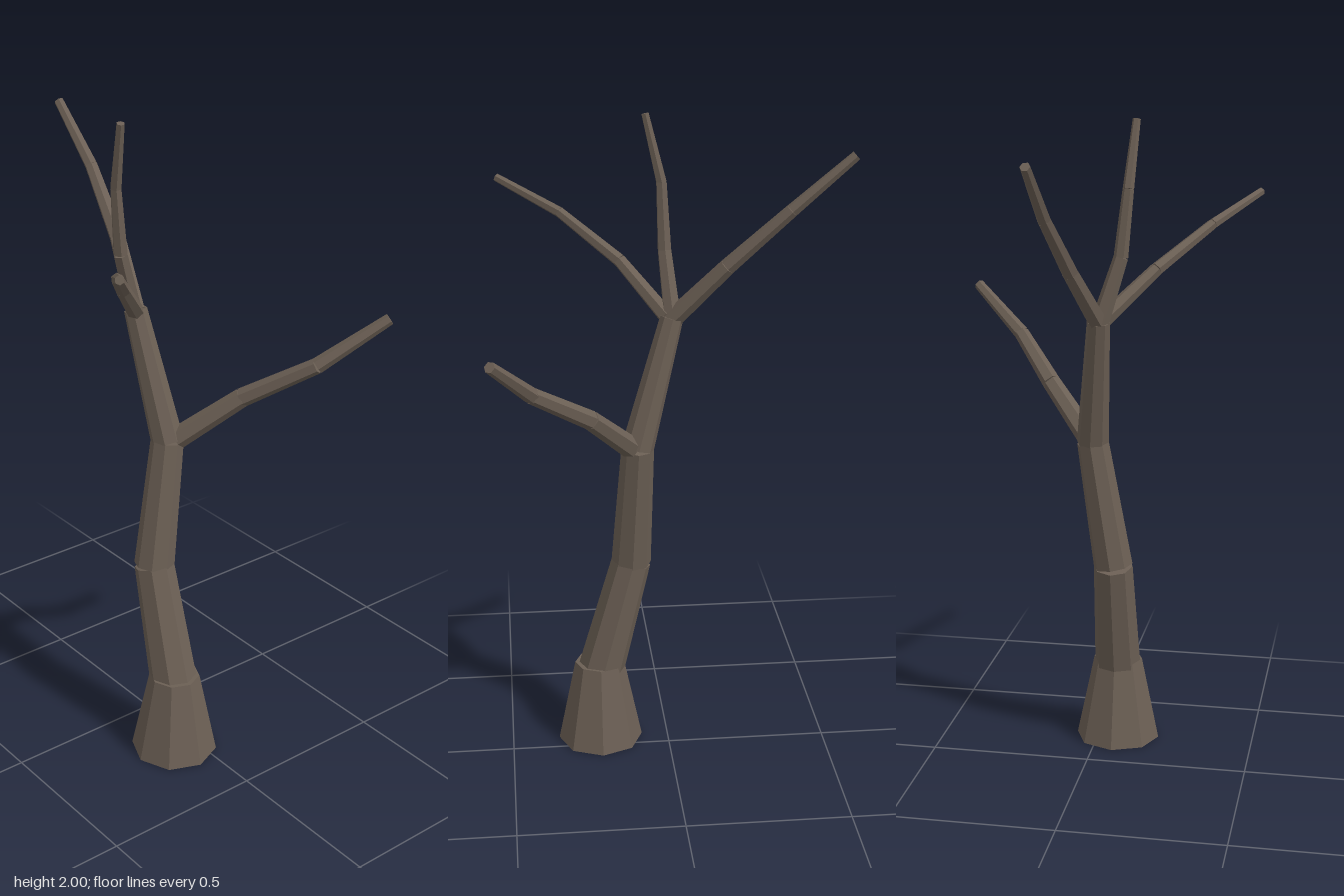
import * as THREE from 'three';

const bark = new THREE.MeshStandardMaterial({ color: 0x6b5f54 });
bark.name = 'bark';
bark.flatShading = true;

const UP = new THREE.Vector3(0, 1, 0);

// One tapered, straight length of wood between two points
function segment(name, a, b, r0, r1, sides) {
  const from = new THREE.Vector3(...a), to = new THREE.Vector3(...b);
  const dir = to.clone().sub(from);
  const mesh = new THREE.Mesh(new THREE.CylinderGeometry(r1, r0, dir.length(), sides), bark);
  mesh.name = name;
  mesh.position.copy(from).add(to).multiplyScalar(0.5);
  mesh.quaternion.setFromUnitVectors(UP, dir.normalize());
  return mesh;
}

// A chain of lengths through a list of points, one radius per point
function limb(name, points, radii, sides) {
  const group = new THREE.Group();
  group.name = name;
  for (let i = 0; i < points.length - 1; i++) {
    group.add(segment(`${name}Part${i + 1}`, points[i], points[i + 1], radii[i], radii[i + 1], sides));
  }
  return group;
}

export function createModel() {
  const tree = new THREE.Group();
  tree.name = 'bareTree';

  // Flared foot and leaning trunk
  tree.add(segment('trunkBase', [0.217, 0, 0.062], [0.217, 0.27, 0.062], 0.134, 0.078, 8));
  tree.add(limb('trunk',
    [[0.21, 0.25, 0.062], [0.113, 0.615, 0.062], [0.095, 1.015, 0], [-0.012, 1.41, 0.036]],
    [0.074, 0.062, 0.05, 0.035], 8));

  // Low branch towards the back
  tree.add(limb('lowBranch',
    [[0.118, 1.025, -0.02], [0.245, 1.165, -0.16], [0.415, 1.29, -0.295], [0.528, 1.43, -0.465]],
    [0.034, 0.029, 0.024, 0.017], 6));

  // Three branches from the crown of the trunk
  tree.add(limb('rightBranch',
    [[-0.012, 1.405, 0.036], [-0.17, 1.575, -0.018], [-0.35, 1.745, -0.055], [-0.53, 1.902, -0.066]],
    [0.03, 0.025, 0.02, 0.015], 6));
  tree.add(limb('topBranch',
    [[-0.015, 1.405, 0.04], [0.003, 1.6, 0.1], [0.01, 1.8, 0.12], [0.056, 1.998, 0.136]],
    [0.028, 0.022, 0.017, 0.012], 6));
  tree.add(limb('frontBranch',
    [[0, 1.41, 0.045], [0.13, 1.55, 0.187], [0.303, 1.67, 0.335], [0.492, 1.755, 0.467]],
    [0.026, 0.021, 0.017, 0.013], 6));

  return tree;
}
